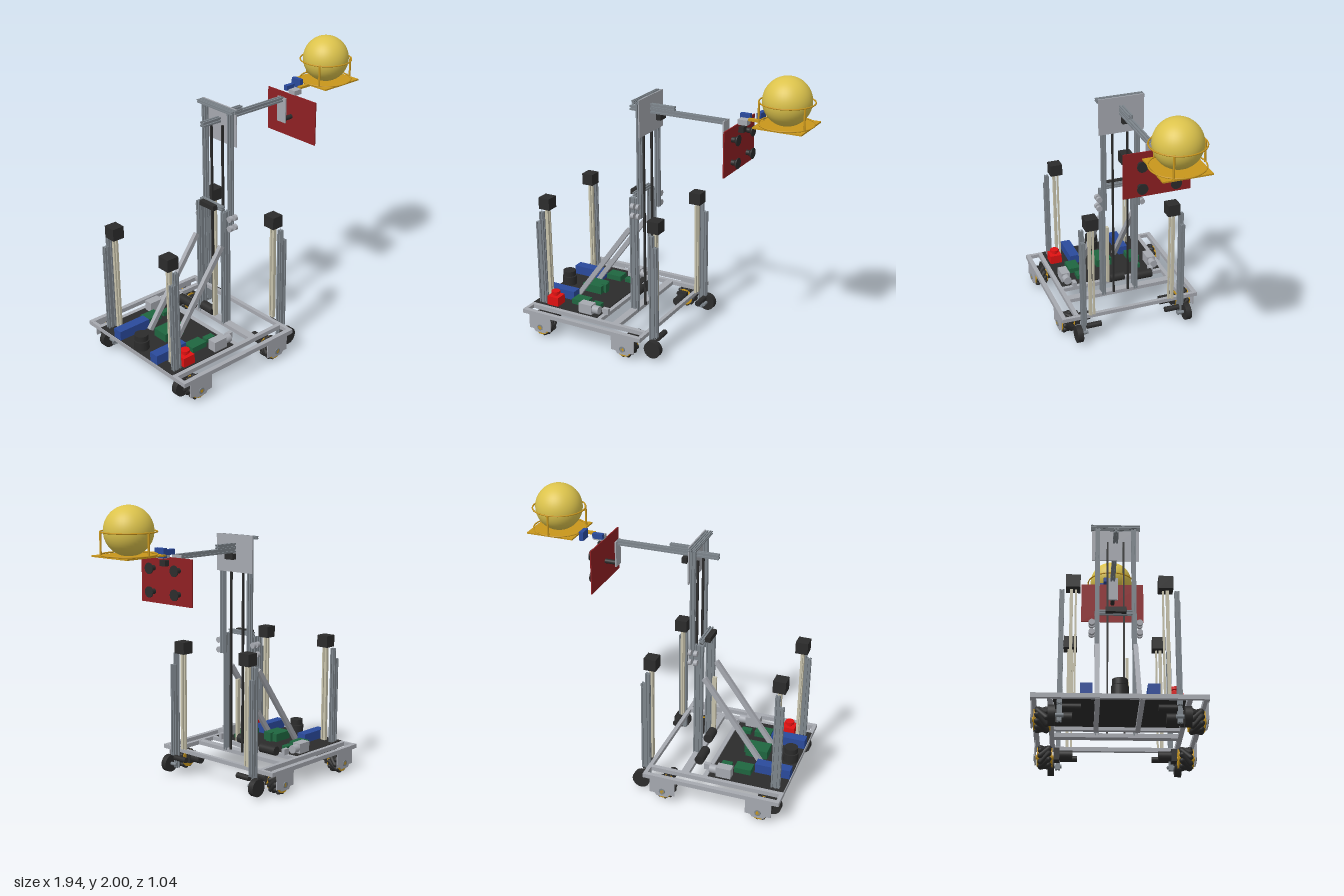
import * as THREE from 'three';

const mat = (name, color) => Object.assign(new THREE.MeshStandardMaterial({ color }), { name });
const M = {
  alu: mat('light aluminium', 0xa6a9b0),
  steel: mat('extrusion grey', 0x7d858c),
  black: mat('black', 0x2c2c2c),
  maroon: mat('panel red', 0x8f2023),
  red: mat('button red', 0xe01212),
  blue: mat('blue', 0x2a4a9c),
  green: mat('circuit green', 0x1f6640),
  gold: mat('gold', 0xc8961c),
  yellow: mat('ball yellow', 0xdcc34c),
  beige: mat('beige', 0xc8c3ac),
};

export function createModel() {
  const root = new THREE.Group();
  root.name = 'mobileLiftRobot';

  const add = (name, geo, m, parent = root) => {
    const mesh = new THREE.Mesh(geo, m);
    mesh.name = name;
    parent.add(mesh);
    return mesh;
  };
  // Box given by its low and high limits on each axis
  const box = (name, m, x0, x1, y0, y1, z0, z1, parent) => {
    const b = add(name, new THREE.BoxGeometry(x1 - x0, y1 - y0, z1 - z0), m, parent);
    b.position.set((x0 + x1) / 2, (y0 + y1) / 2, (z0 + z1) / 2);
    return b;
  };
  // Cylinder along one axis
  const cyl = (name, m, axis, r, len, x, y, z, parent, r2 = r) => {
    const c = add(name, new THREE.CylinderGeometry(r2, r, len, 28), m, parent);
    if (axis === 'x') c.rotation.z = -Math.PI / 2;
    if (axis === 'z') c.rotation.x = Math.PI / 2;
    c.position.set(x, y, z);
    return c;
  };
  // Slotted profile: one quarter of the outline repeated around the centre
  const slotted = (name, axis, w, len, x, y, z, parent) => {
    const h = w / 2, g = w * 0.14, d = w * 0.22, pts = [];
    for (let i = 0; i < 4; i++) {
      const c = Math.round(Math.cos(i * Math.PI / 2)), s = Math.round(Math.sin(i * Math.PI / 2));
      for (const [a, b] of [[h, -h], [h, -g], [d, -g], [d, g], [h, g]]) {
        pts.push(new THREE.Vector2(a * c - b * s, a * s + b * c));
      }
    }
    const geo = new THREE.ExtrudeGeometry(new THREE.Shape(pts), { depth: len, bevelEnabled: false });
    geo.translate(0, 0, -len / 2);
    const e = add(name, geo, M.steel, parent);
    if (axis === 'x') e.rotation.y = Math.PI / 2;
    if (axis === 'y') e.rotation.x = -Math.PI / 2;
    e.position.set(x, y, z);
    return e;
  };

  // Base frame
  for (const s of [-1, 1]) {
    box('outerRail', M.alu, -0.97, -0.01, 0.165, 0.195, s * 0.502 - 0.016, s * 0.502 + 0.016);
    box('innerRail', M.alu, -0.955, -0.03, 0.165, 0.195, s * 0.405 - 0.015, s * 0.405 + 0.015);
    box('deckRail', M.alu, -0.955, -0.4, 0.163, 0.186, s * 0.13 - 0.015, s * 0.13 + 0.015);
  }
  for (const [x0, x1, w] of [[-0.97, -0.945, 0.518], [-0.035, -0.008, 0.518], [-0.43, -0.4, 0.39], [-0.3, -0.245, 0.39]]) {
    box('crossBar', M.alu, x0, x1, 0.166, 0.194, -w, w);
  }
  box('deck', M.black, -0.965, -0.435, 0.186, 0.196, -0.387, 0.387);

  // Roller wheels with motors and side plates
  for (const x of [-0.83, -0.15]) for (const s of [-1, 1]) {
    const drive = new THREE.Group();
    drive.name = 'driveWheel';
    drive.position.set(x, 0.08, s * 0.45);
    root.add(drive);
    cyl('wheelHub', M.gold, 'z', 0.053, 0.09, 0, 0, 0, drive);
    for (const e of [-1, 1]) cyl('hubDisc', M.gold, 'z', 0.062, 0.006, 0, 0, e * 0.046, drive);
    for (let i = 0; i < 10; i++) {
      const spoke = new THREE.Group();
      spoke.name = 'rollerMount';
      spoke.rotation.z = i * Math.PI / 5;
      drive.add(spoke);
      const roller = add('roller', new THREE.CapsuleGeometry(0.018, 0.075, 3, 10), M.black, spoke);
      roller.position.y = 0.055;
      roller.rotation.set(Math.PI / 2, 0, s * Math.sign(x + 0.5) * Math.PI / 4);
    }
    cyl('axle', M.gold, 'z', 0.014, 0.14, 0, 0, 0, drive);
    // Side plate with a rounded lower edge
    const plate = new THREE.Shape();
    plate.moveTo(-0.09, 0.09).lineTo(-0.09, -0.02).lineTo(-0.055, -0.02);
    plate.lineTo(-0.04, -0.04).lineTo(0.04, -0.04).lineTo(0.055, -0.02);
    plate.lineTo(0.09, -0.02).lineTo(0.09, 0.09);
    const p = add('wheelPlate', new THREE.ExtrudeGeometry(plate, { depth: 0.006, bevelEnabled: false }), M.alu, drive);
    p.position.z = s * 0.062 - 0.003;
    cyl('bearing', M.steel, 'z', 0.022, 0.012, 0, 0, s * 0.064, drive);
    cyl('driveMotor', M.black, 'z', 0.032, 0.11, 0, 0.015, -s * 0.12, drive);
    box('gearbox', M.black, -0.035, 0.035, -0.025, 0.055, -s * 0.075 - 0.018, -s * 0.075 + 0.018, drive);
  }

  // Four corner lifting legs
  for (const [x, z, front] of [[0.02, 0.37, 1], [-0.9, 0.35, 0]]) for (const s of [-1, 1]) {
    const leg = new THREE.Group();
    leg.name = 'liftingLeg';
    leg.position.set(x, 0, s * z);
    root.add(leg);
    const outer = front ? 1 : -1;
    slotted('legFixedProfile', 'y', 0.03, 0.67, outer * 0.015, 0.485, 0, leg);
    slotted('legSlidingProfile', 'y', 0.03, 0.85, -outer * 0.015, 0.475, 0, leg);
    const inner = front ? -0.018 : 0.018;
    box('legRail', M.beige, inner - 0.012, inner + 0.012, 0.2, 0.91, -s * 0.058 - 0.01, -s * 0.058 + 0.01, leg);
    box('legScrew', M.beige, inner - 0.008, inner + 0.008, 0.2, 0.91, -s * 0.085 - 0.006, -s * 0.085 + 0.006, leg);
    const cx = front ? -0.018 : 0.017;
    box('legMotor', M.black, cx - 0.043, cx + 0.043, 0.905, 0.99, -s * 0.068 - 0.045, -s * 0.068 + 0.045, leg);
    const wx = front ? 0.017 : 0;
    cyl('legWheel', M.black, 'z', 0.062, 0.042, wx, 0.083, s * 0.045, leg);
    cyl('legWheelAxle', M.steel, 'z', 0.012, 0.07, wx, 0.083, s * 0.01, leg);
    cyl('legWheelMotor', M.black, 'z', 0.02, 0.11, wx, 0.135, -s * 0.07, leg);
  }

  // Mast: fixed stage, sliding stage, braces and guide rollers
  for (const s of [-1, 1]) {
    const z = s * 0.124;
    for (const x of [-0.285, -0.255]) slotted('mastProfile', 'y', 0.03, 0.86, x, 0.61, z);
    slotted('slidingMastProfile', 'y', 0.032, 0.84, -0.22, 1.32, z);
    for (const y of [0.92, 0.99]) {
      cyl('guideRoller', M.alu, 'x', 0.021, 0.025, -0.258, y, s * 0.16);
      cyl('guideRoller', M.alu, 'x', 0.021, 0.02, -0.217, y, s * 0.16);
    }
    const brace = add('diagonalBrace', new THREE.BoxGeometry(0.73, 0.033, 0.03), M.alu);
    brace.position.set(-0.525, 0.5, z + s * 0.004);
    brace.rotation.z = Math.atan2(0.59, 0.43);
    box('liftBelt', M.black, -0.235, -0.22, 0.2, 1.62, s * 0.055 - 0.006, s * 0.055 + 0.006);
  }
  slotted('mastCrossBar', 'z', 0.03, 0.22, -0.275, 1.055, 0);
  for (const x of [-0.24, -0.21]) slotted('topCrossBar', 'z', 0.022, 0.34, x, 1.735, 0);
  box('mastTopMotor', M.black, -0.328, -0.292, 1.04, 1.075, -0.07, 0.07);
  box('mastPlate', M.alu, -0.204, -0.196, 1.49, 1.75, -0.163, 0.163);
  cyl('liftMotor', M.black, 'z', 0.033, 0.14, -0.335, 0.23, -0.212);
  cyl('liftDrum', M.black, 'z', 0.033, 0.11, -0.32, 0.265, 0);
  box('linearActuator', M.beige, -0.335, -0.305, 0.24, 0.7, 0.06, 0.08);

  // Horizontal arm
  slotted('arm', 'x', 0.034, 0.72, 0.005, 1.643, 0);
  slotted('armUpperProfile', 'x', 0.03, 0.185, -0.108, 1.676, 0);
  box('armMotor', M.black, -0.15, -0.115, 1.585, 1.626, -0.055, 0.02);
  box('armDropBracket', M.alu, 0.358, 0.368, 1.475, 1.655, -0.04, 0.04);
  cyl('panelMotor', M.black, 'x', 0.016, 0.09, 0.412, 1.49, 0);

  // Red panel with four suction cups
  box('gripPanel', M.maroon, 0.455, 0.463, 1.34, 1.65, -0.231, 0.231);
  for (const y of [1.415, 1.57]) for (const z of [-0.115, 0.115]) {
    cyl('cupStem', M.black, 'x', 0.018, 0.03, 0.477, y, z);
    cyl('suctionCup', M.black, 'x', 0.016, 0.022, 0.495, y, z, root, 0.036);
    cyl('cupRim', M.black, 'x', 0.037, 0.006, 0.508, y, z);
  }
  box('panelSensor', M.black, 0.463, 0.5, 1.592, 1.63, -0.025, 0.025);

  // Wrist servos
  box('wristBlock', M.alu, 0.457, 0.525, 1.645, 1.68, -0.03, 0.028);
  box('wristServo', M.blue, 0.445, 0.518, 1.67, 1.705, -0.065, -0.033);
  box('tiltServo', M.blue, 0.565, 0.595, 1.66, 1.722, -0.11, -0.028);
  box('trayArm', M.gold, 0.525, 0.63, 1.675, 1.69, -0.015, 0.015);

  // Ball tray
  box('trayPlate', M.gold, 0.62, 0.955, 1.678, 1.688, -0.163, 0.163);
  for (const y of [1.692, 1.835]) {
    const ring = add('trayRing', new THREE.TorusGeometry(0.179, 0.005, 8, 48), M.gold);
    ring.rotation.x = Math.PI / 2;
    ring.position.set(0.787, y, 0);
  }
  for (let i = 0; i < 3; i++) {
    const a = -Math.PI / 2 + i * Math.PI * 2 / 3;
    cyl('trayPost', M.gold, 'y', 0.007, 0.148, 0.787 + 0.179 * Math.cos(a), 1.761, 0.179 * Math.sin(a));
  }
  const ball = add('ball', new THREE.SphereGeometry(0.16, 40, 28), M.yellow);
  ball.position.set(0.787, 1.84, 0);

  // Deck equipment
  for (const s of [-1, 1]) {
    box('battery', M.blue, -0.965, -0.72, 0.196, 0.262, s * 0.197 - 0.036, s * 0.197 + 0.036);
    box('motorController', M.green, -0.705, -0.587, 0.196, 0.235, s * 0.24 - 0.043, s * 0.24 + 0.043);
    box('smallBoard', M.green, -0.557, -0.485, 0.196, 0.225, s * 0.23 - 0.022, s * 0.23 + 0.022);
    box('pumpBody', M.alu, -0.59, -0.485, 0.196, 0.268, s * 0.342 - 0.032, s * 0.342 + 0.032);
    cyl('pumpHead', M.alu, 'x', 0.03, 0.05, -0.46, 0.232, s * 0.342);
    box('valve', M.alu, -0.43, -0.382, 0.195, 0.238, s * 0.302 - 0.014, s * 0.302 + 0.014);
  }
  box('mainBoard', M.green, -0.755, -0.6, 0.196, 0.255, -0.06, 0.06);
  box('boardConnector', M.green, -0.62, -0.58, 0.196, 0.262, -0.022, 0.022);
  cyl('scanner', M.black, 'y', 0.052, 0.065, -0.91, 0.228, 0);
  cyl('scannerTop', M.black, 'y', 0.047, 0.038, -0.91, 0.284, 0);

  // Emergency stop
  box('stopBox', M.red, -0.855, -0.765, 0.196, 0.262, 0.287, 0.375);
  cyl('stopStem', M.red, 'y', 0.018, 0.03, -0.81, 0.27, 0.331);
  cyl('stopButton', M.red, 'y', 0.032, 0.018, -0.81, 0.288, 0.331);

  return root;
}
